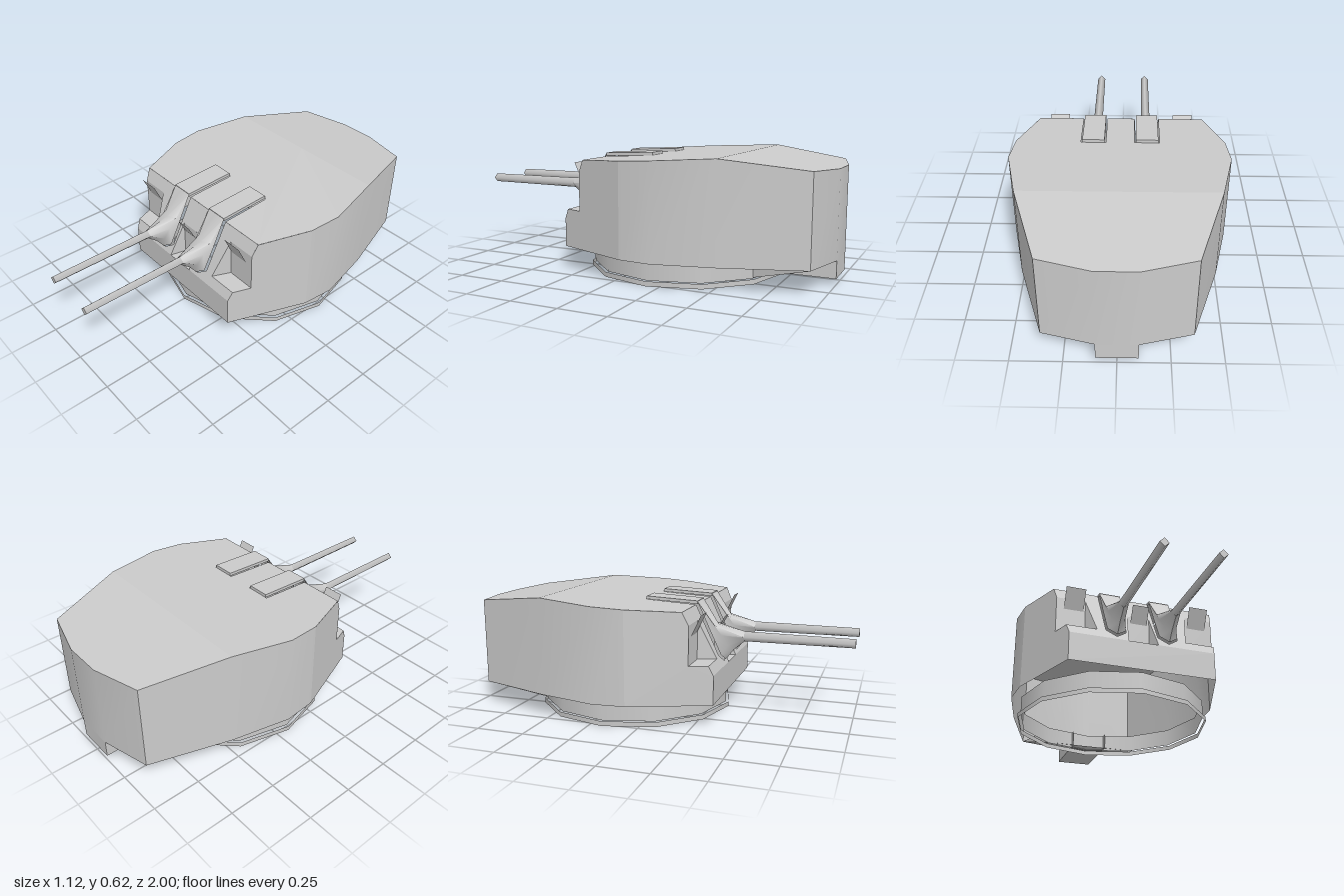
import * as THREE from 'three';
import { toCreasedNormals } from 'three/addons/utils/BufferGeometryUtils.js';

const grey = new THREE.MeshStandardMaterial({ color: 0xcccccc, side: THREE.DoubleSide });

// Height of the roof at z, and depth of the sloped front at y
const roofY = (z) => (z > -0.525 ? 0.585 + (0.21 - z) * 0.0544 : 0.625 - (-0.525 - z) * 0.126);
const slopeZ = (y) => 0.355 - (y - 0.27) * 0.46;

function part(name, geometry) {
  const mesh = new THREE.Mesh(geometry, grey);
  mesh.name = name;
  return mesh;
}

// Flat sheet: a 2D outline whose points are placed in space by a rule
function sheet(name, outline, place) {
  const g = new THREE.ShapeGeometry(new THREE.Shape(outline.map(([u, v]) => new THREE.Vector2(u, v))));
  const p = g.attributes.position;
  for (let i = 0; i < p.count; i++) p.setXYZ(i, ...place(p.getX(i), p.getY(i)));
  g.computeVertexNormals();
  return part(name, g);
}

// Convex face from its corners
function face(name, ...corners) {
  const v = [];
  for (let i = 1; i < corners.length - 1; i++) v.push(...corners[0], ...corners[i], ...corners[i + 1]);
  const g = new THREE.BufferGeometry();
  g.setAttribute('position', new THREE.Float32BufferAttribute(v, 3));
  g.computeVertexNormals();
  return part(name, g);
}

// Skin over cross-sections with equal point counts
function loft(name, rings, closed, crease) {
  const v = [], n = rings[0].length;
  for (let r = 0; r < rings.length - 1; r++) {
    for (let i = 0; i < (closed ? n : n - 1); i++) {
      const j = (i + 1) % n;
      const [a, b, c, d] = [rings[r][i], rings[r][j], rings[r + 1][j], rings[r + 1][i]];
      v.push(...a, ...b, ...c, ...a, ...c, ...d);
    }
  }
  const g = new THREE.BufferGeometry();
  g.setAttribute('position', new THREE.Float32BufferAttribute(v, 3));
  return part(name, toCreasedNormals(g, crease));
}

// Everything on the +x half of the housing
function housingSide() {
  const side = new THREE.Group();
  const onSlope = (x, y) => [x, y, slopeZ(y)];
  const wallX = (z) => 0.545 - (z + 0.05) * 0.383;

  // Forward side wall, stepped where the sight notch opens
  side.add(sheet('forwardSideWall', [
    [-0.05, 0.12], [0.355, 0.12], [0.355, 0.27], [0.332, 0.32], [0.24, 0.32], [0.24, 0.52], [0.21, 0.585], [-0.05, 0.599],
  ], (z, y) => [wallX(z), y, z]));

  // Sloped front with notches and gun slot
  side.add(sheet('slopedFront', [
    [0.08, 0.27], [0.39, 0.27], [0.4, 0.32], [0.24, 0.32], [0.28, 0.52], [0.434, 0.52], [0.445, 0.585],
    [0.205, 0.585], [0.194, 0.325], [0.14, 0.288], [0.086, 0.325], [0.075, 0.585],
    [0, 0.585], [0, 0.455], [0.06, 0.455],
  ], onSlope));

  // Forward roof with gun slot
  side.add(sheet('forwardRoof', [
    [0, -0.525], [0.49, -0.525], [0.56, -0.22], [0.545, -0.05], [0.445, 0.21],
    [0.205, 0.21], [0.205, -0.06], [0.075, -0.06], [0.075, 0.21], [0, 0.21],
  ], (x, z) => [x, roofY(z), z]));

  // Outer sight notch
  side.add(face('notchBack', [0.28, 0.32, 0.24], [0.434, 0.32, 0.24], [0.434, 0.52, 0.24], [0.28, 0.52, 0.24]));
  side.add(face('notchFloor', [0.24, 0.32, 0.332], [0.4, 0.32, 0.332], [0.434, 0.32, 0.24], [0.28, 0.32, 0.24]));
  side.add(face('notchCheek', [0.24, 0.32, 0.332], [0.28, 0.32, 0.24], [0.28, 0.52, 0.24]));
  side.add(face('sightFlap', [0.29, 0.455, 0.238], [0.395, 0.455, 0.238], [0.395, 0.565, 0.29], [0.29, 0.565, 0.29]));
  side.add(face('centreNotchCheek', [0.08, 0.27, 0.355], [0.06, 0.27, 0.27], [0.06, 0.455, 0.27]));

  // Rear underside brace and tail side
  side.add(face('rearGusset', [0.25, 0.03, -0.63], [0.355, 0.12, -0.935], [0.25, 0.12, -0.63]));
  side.add(face('tailSide', [0.1, 0.03, -0.63], [0.1, 0.12, -0.63], [0.1, 0.12, -1], [0.1, 0.03, -1]));
  return side;
}

function gun() {
  const g = new THREE.Group();
  const shieldZ = (y) => slopeZ(y) + 0.012;
  const axisY = 0.424, r = 0.026;

  // Cover plate over the roof slot
  const cover = part('roofCover', new THREE.BoxGeometry(0.116, 0.016, 0.275));
  cover.position.set(0, 0.601, 0.078);
  cover.rotation.x = 0.045;
  g.add(cover);

  // Shield blending from the pointed slot outline into the barrel
  const half = [
    [[0, 0.297], [0.049, 0.33], [0.055, 0.45], [0.058, 0.6], [0, 0.602]].map(([x, y]) => [x, y, shieldZ(y)]),
    [[0, 0.35, 0.395], [0.034, 0.375, 0.37], [0.045, 0.43, 0.34], [0.045, 0.48, 0.295], [0, 0.478, 0.315]],
    [[0, axisY - r, 0.45], [r / 2, axisY - r / 2, 0.45], [r, axisY, 0.45], [r / 2, axisY + r / 2, 0.45], [0, axisY + r, 0.45]],
  ];
  const rings = half.map((h) => [...h, ...h.slice(1, 4).reverse().map(([x, y, z]) => [-x, y, z])]);
  g.add(loft('gunShield', rings, true, 1));

  // Four-sided barrel
  const barrel = part('barrel', new THREE.CylinderGeometry(0.023, r, 0.56, 4));
  barrel.rotation.x = Math.PI / 2;
  barrel.position.set(0, axisY, 0.72);
  g.add(barrel);
  return g;
}

export function createModel() {
  const model = new THREE.Group();
  model.name = 'gunTurret';

  // Mirrored housing halves and guns
  for (const s of [1, -1]) {
    const side = housingSide();
    side.name = s > 0 ? 'leftHousing' : 'rightHousing';
    side.scale.x = s;
    model.add(side);
    const g = gun();
    g.name = s > 0 ? 'leftGun' : 'rightGun';
    g.position.x = 0.14 * s;
    model.add(g);
  }

  // Rear wall wrapping from side to side
  const rearHalf = [[0.545, -0.05], [0.56, -0.22], [0.49, -0.525], [0.355, -0.935], [0.1, -1]];
  const rear = [...rearHalf, ...rearHalf.map(([x, z]) => [-x, z]).reverse()];
  model.add(loft('rearWall', [
    rear.map(([x, z]) => [x, 0.12, z]),
    rear.map(([x, z]) => [x, roofY(z), z]),
  ], false, 0.5));
  model.add(sheet('rearRoof', rear.slice(2, 8), (x, z) => [x, roofY(z), z]));

  // Lower front plate and centre notch
  model.add(face('frontPlate', [-0.39, 0.12, 0.355], [0.39, 0.12, 0.355], [0.39, 0.27, 0.355], [-0.39, 0.27, 0.355]));
  model.add(face('centreNotchBack', [-0.06, 0.27, 0.27], [0.06, 0.27, 0.27], [0.06, 0.455, 0.27], [-0.06, 0.455, 0.27]));
  model.add(face('centreNotchFloor', [-0.08, 0.27, 0.355], [0.08, 0.27, 0.355], [0.06, 0.27, 0.27], [-0.06, 0.27, 0.27]));
  model.add(face('centreSightFlap', [-0.045, 0.415, 0.275], [0.045, 0.415, 0.275], [0.045, 0.502, 0.32], [-0.045, 0.502, 0.32]));

  // Sloping rear underside and tail
  model.add(face('rearUnderside', [-0.25, 0.03, -0.63], [0.25, 0.03, -0.63], [0.355, 0.12, -0.935],
    [0.1, 0.12, -1], [-0.1, 0.12, -1], [-0.355, 0.12, -0.935]));
  model.add(face('tailBottom', [-0.1, 0.03, -1], [0.1, 0.03, -1], [0.1, 0.03, -0.63], [-0.1, 0.03, -0.63]));
  model.add(face('tailBack', [-0.1, 0.03, -1], [-0.1, 0.12, -1], [0.1, 0.12, -1], [0.1, 0.03, -1]));

  // Open turning ring and base flange
  for (const [name, radius, y0, y1] of [['turningRing', 0.51, 0.025, 0.12], ['baseFlange', 0.525, 0, 0.025]]) {
    const ring = part(name, new THREE.CylinderGeometry(radius, radius, y1 - y0, 12, 1, true));
    ring.position.set(0, (y0 + y1) / 2, -0.185);
    model.add(ring);
  }
  return model;
}
